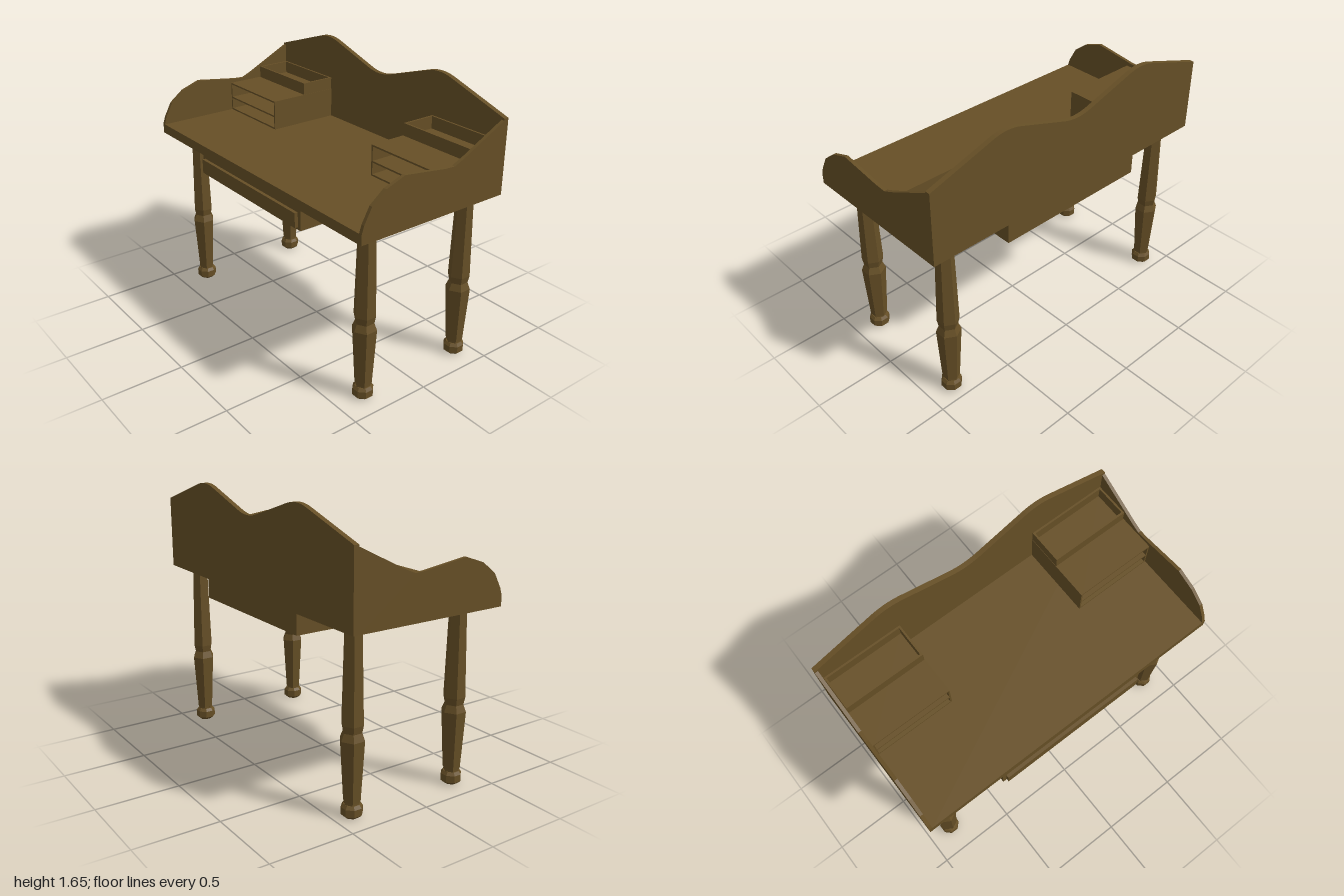
import * as THREE from 'three';

export function createModel() {
  const desk = new THREE.Group();
  desk.name = 'writingDesk';
  const wood = new THREE.MeshStandardMaterial({ color: 0x664f26, flatShading: true });

  const add = (name, geometry, parent = desk) => {
    const mesh = new THREE.Mesh(geometry, wood);
    mesh.name = name;
    parent.add(mesh);
    return mesh;
  };
  // Box given by its limits on each axis
  const box = (name, [x0, x1], [y0, y1], [z0, z1], parent) => {
    const mesh = add(name, new THREE.BoxGeometry(x1 - x0, y1 - y0, z1 - z0), parent);
    mesh.position.set((x0 + x1) / 2, (y0 + y1) / 2, (z0 + z1) / 2);
    return mesh;
  };
  const points = (list) => list.map(([a, b]) => new THREE.Vector2(a, b));

  // Table top, drawer case and drawer front
  box('tableTop', [-0.98, 0.98], [1.06, 1.12], [-0.48, 0.49]);
  box('drawerCase', [-0.5, 0.5], [0.94, 1.06], [-0.51, 0.49]);
  box('drawerFront', [-0.477, 0.477], [0.955, 1.043], [0.49, 0.51]);

  // Back panel with a double-humped top edge
  const back = new THREE.Shape();
  back.moveTo(-1, 1.06);
  back.lineTo(1, 1.06);
  back.lineTo(1, 1.505);
  back.lineTo(0.6, 1.632);
  back.quadraticCurveTo(0.5, 1.665, 0.4, 1.63);
  back.lineTo(0.1, 1.535);
  back.quadraticCurveTo(0, 1.503, -0.1, 1.535);
  back.lineTo(-0.4, 1.63);
  back.quadraticCurveTo(-0.5, 1.665, -0.6, 1.632);
  back.lineTo(-1, 1.505);
  const backGeometry = new THREE.ExtrudeGeometry(back, { depth: 0.03, bevelEnabled: false, curveSegments: 8 });
  add('backPanel', backGeometry).position.z = -0.51;

  // Scrolled side panels, drawn as (z, y)
  const side = new THREE.Shape(points([
    [-0.48, 1.06], [0.49, 1.06], [0.49, 1.122], [0.476, 1.166], [0.428, 1.254], [0.34, 1.322],
    [0.218, 1.365], [-0.06, 1.327], [-0.127, 1.323], [-0.195, 1.352], [-0.48, 1.495],
  ]));
  const sideGeometry = new THREE.ExtrudeGeometry(side, { depth: 0.02, bevelEnabled: false });
  sideGeometry.rotateY(-Math.PI / 2);
  add('leftSidePanel', sideGeometry).position.x = 1;
  add('rightSidePanel', sideGeometry).position.x = -0.98;

  // Open shelves with a tray on top, at both ends
  for (const s of [1, -1]) {
    const shelves = new THREE.Group();
    shelves.name = s > 0 ? 'leftShelves' : 'rightShelves';
    desk.add(shelves);
    const span = (a, b) => (s > 0 ? [a, b] : [-b, -a]);
    const depth = [-0.48, -0.025];
    box('innerWall', span(0.468, 0.478), [1.12, 1.305], depth, shelves);
    box('outerWall', span(0.97, 0.98), [1.12, 1.305], depth, shelves);
    for (const y of [1.12, 1.2, 1.295]) {
      box('shelf', span(0.478, 0.97), [y, y + 0.01], depth, shelves);
    }
    box('trayFront', span(0.47, 0.975), [1.305, 1.38], [-0.27, -0.258], shelves);
    box('trayBack', span(0.47, 0.975), [1.305, 1.38], [-0.48, -0.468], shelves);
    box('trayInnerWall', span(0.47, 0.482), [1.305, 1.38], [-0.468, -0.27], shelves);
    box('trayOuterWall', span(0.963, 0.975), [1.305, 1.38], [-0.468, -0.27], shelves);
  }

  // Six-sided turned legs on eight-sided feet
  const legGeometry = new THREE.LatheGeometry(points([
    [0, 0.07], [0.046, 0.07], [0.046, 0.09], [0.051, 0.092], [0.072, 0.445],
    [0.055, 0.487], [0.064, 0.53], [0.05, 1.06], [0, 1.06],
  ]), 6);
  const footGeometry = new THREE.LatheGeometry(points([
    [0, 0], [0.04, 0], [0.0615, 0.018], [0.0615, 0.06], [0.048, 0.078], [0, 0.078],
  ]), 8, Math.PI / 8);
  for (const x of [-0.845, 0.845]) {
    for (const z of [0.321, -0.393]) {
      const leg = new THREE.Group();
      leg.name = (z > 0 ? 'front' : 'back') + (x > 0 ? 'Left' : 'Right') + 'Leg';
      leg.position.set(x, 0, z);
      desk.add(leg);
      add('post', legGeometry, leg);
      add('foot', footGeometry, leg);
    }
  }
  return desk;
}
